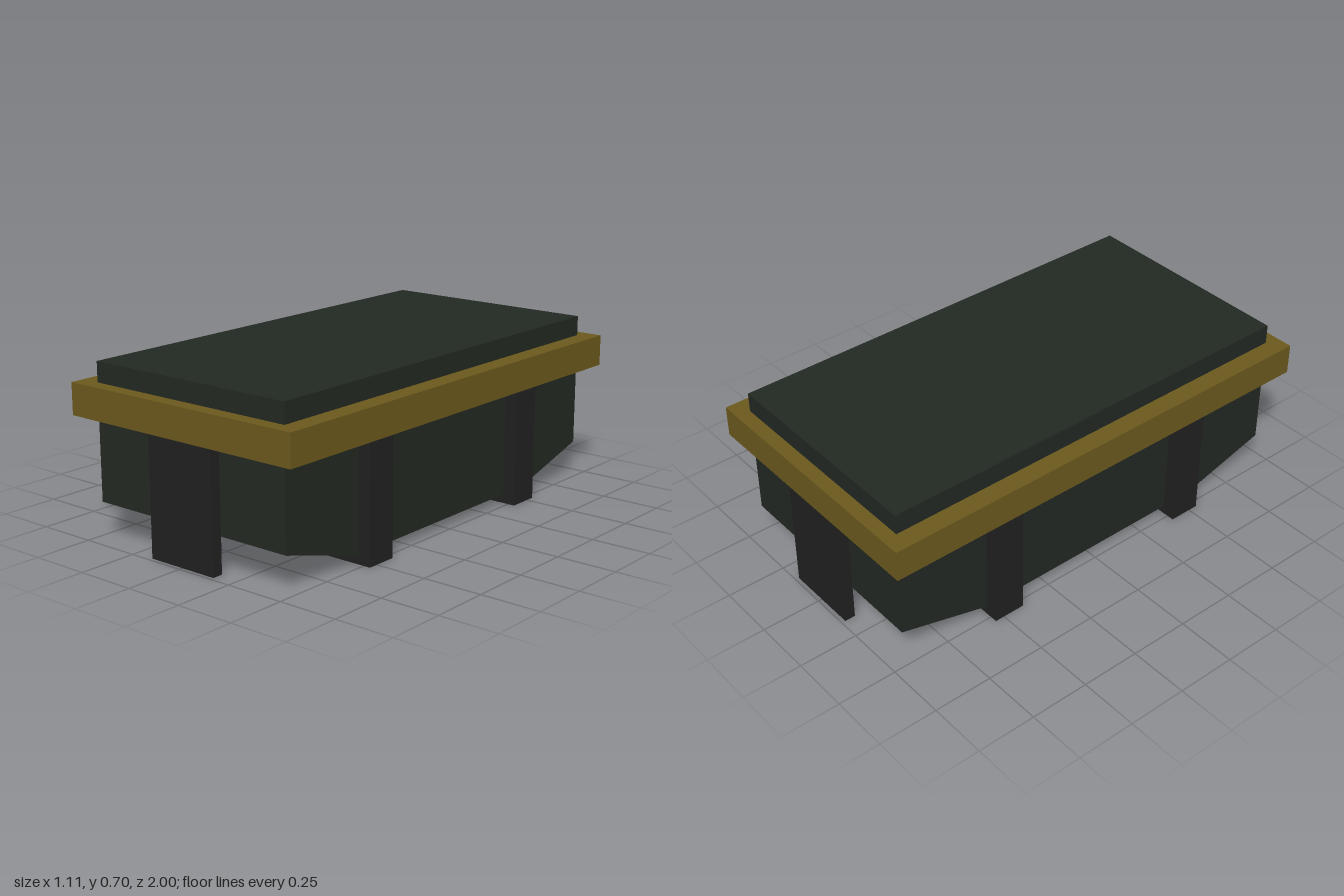
import * as THREE from 'three';

const dark = new THREE.MeshStandardMaterial({ color: 0x222822, flatShading: true });
const brass = new THREE.MeshStandardMaterial({ color: 0x6b581d, flatShading: true });
const iron = new THREE.MeshStandardMaterial({ color: 0x202020, flatShading: true });

export function createModel() {
  const group = new THREE.Group();

  function add(name, geometry, material) {
    const mesh = new THREE.Mesh(geometry, material);
    mesh.name = name;
    group.add(mesh);
    return mesh;
  }

  // Box given by its size, base height and z centre
  function box(name, w, h, d, base, z, material) {
    add(name, new THREE.BoxGeometry(w, h, d), material).position.set(0, base + h / 2, z);
  }

  // Body: side profile with sloping ends underneath, extruded across x
  const width = 0.95;
  const profile = new THREE.Shape([
    [-0.54, 0.037], [0.54, 0.037], [0.94, 0.147],
    [0.94, 0.705], [-0.94, 0.705], [-0.94, 0.147],
  ].map(([z, y]) => new THREE.Vector2(z, y)));
  const body = new THREE.ExtrudeGeometry(profile, { depth: width, bevelEnabled: false });
  body.translate(0, 0, -width / 2).rotateY(-Math.PI / 2);
  add('body', body, dark);

  // Rim band around the top
  box('rim', 1.11, 0.13, 2, 0.492, 0, brass);

  // Cross ribs under the body and a flat leg at each end
  for (const [side, end] of [[1, 'front'], [-1, 'back']]) {
    box(end + 'Rib', 1.06, 0.5, 0.135, 0, side * 0.4725, iron);
    box(end + 'Leg', 0.318, 0.5, 0.045, 0, side * 0.9615, iron);
  }

  return group;
}
